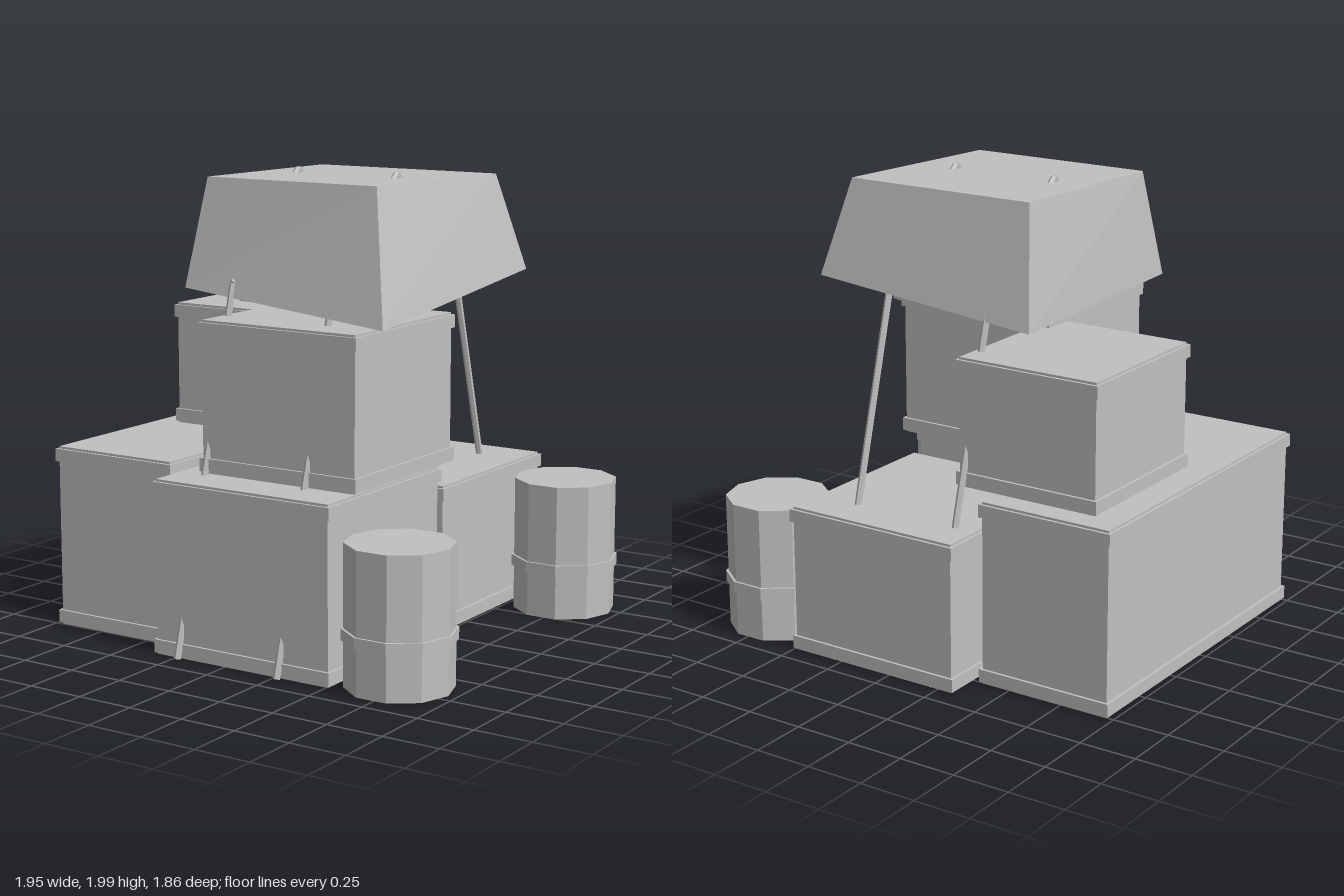
import * as THREE from 'three';

const grey = new THREE.MeshStandardMaterial({ color: 0xc0c0c0 });
grey.name = 'plainGrey';
const greySheet = new THREE.MeshStandardMaterial({ color: 0xc0c0c0, side: THREE.DoubleSide });
greySheet.name = 'plainGreySheet';

function add(parent, name, geometry, material = grey) {
  const mesh = new THREE.Mesh(geometry, material);
  mesh.name = name;
  parent.add(mesh);
  return mesh;
}

function box(parent, name, [x0, x1], [y0, y1], [z0, z1]) {
  const mesh = add(parent, name, new THREE.BoxGeometry(x1 - x0, y1 - y0, z1 - z0));
  mesh.position.set((x0 + x1) / 2, (y0 + y1) / 2, (z0 + z1) / 2);
}

// Crate: inset body with a raised band at the top and at the bottom
function crate(name, x, y, z) {
  const group = new THREE.Group();
  group.name = name;
  const inset = ([a, b]) => [a + 0.012, b - 0.012];
  box(group, 'crateBody', inset(x), y, inset(z));
  box(group, 'bottomBand', x, [y[0] + 0.008, y[0] + 0.065], z);
  box(group, 'topBand', x, [y[1] - 0.065, y[1] - 0.01], z);
  return group;
}

// Ten-sided barrel with one hoop
function barrel(name, x, z) {
  const group = new THREE.Group();
  group.name = name;
  const drum = (part, r, y0, y1) => {
    const g = new THREE.CylinderGeometry(r, r, y1 - y0, 10).toNonIndexed();
    g.computeVertexNormals();
    add(group, part, g).position.y = (y0 + y1) / 2;
  };
  drum('barrelBody', 0.226, 0.01, 0.605);
  drum('hoop', 0.237, 0.207, 0.255);
  group.rotation.y = Math.PI / 10;
  group.position.set(x, 0, z);
  return group;
}

// Open four-sided cover with a flat top and an uneven hem
function tarp() {
  const top = [[-0.365, 1.97, -0.405], [0.53, 1.97, -0.405], [0.43, 1.97, 0.395], [-0.415, 1.97, 0.395]];
  const hem = [[-0.44, 1.46, -0.52], [0.63, 1.555, -0.505], [0.555, 1.41, 0.545], [-0.465, 1.505, 0.495]];
  const points = [];
  const quad = (a, b, c, d) => points.push(...a, ...b, ...c, ...a, ...c, ...d);
  quad(top[3], top[2], top[1], top[0]);
  for (let i = 0; i < 4; i++) {
    const j = (i + 1) % 4;
    quad(top[i], top[j], hem[j], hem[i]);
  }
  const g = new THREE.BufferGeometry();
  g.setAttribute('position', new THREE.Float32BufferAttribute(points, 3));
  g.computeVertexNormals();
  return g;
}

// Straight rope piece between two points
function ropePiece(parent, a, b) {
  const dir = b.clone().sub(a);
  const g = new THREE.CylinderGeometry(0.015, 0.015, dir.length(), 6).toNonIndexed();
  g.computeVertexNormals();
  const mesh = add(parent, 'ropePiece', g);
  mesh.position.copy(a).add(b).multiplyScalar(0.5);
  mesh.quaternion.setFromUnitVectors(new THREE.Vector3(0, 1, 0), dir.normalize());
}

export function createModel() {
  const model = new THREE.Group();
  model.name = 'cargoPile';

  model.add(
    crate('longCrate', [-0.98, -0.358], [0.01, 0.805], [-0.765, 0.757]),
    crate('frontCrate', [-0.355, 0.52], [0.01, 0.76], [0.018, 0.886]),
    crate('backCrate', [-0.33, 0.5], [0.01, 0.657], [-0.917, -0.037]),
    crate('upperFrontCrate', [-0.255, 0.52], [0.762, 1.408], [-0.085, 0.69]),
    crate('upperBackCrate', [-0.855, -0.18], [0.81, 1.36], [-0.666, 0.062]),
    crate('coveredCrate', [-0.33, 0.39], [1.437, 1.93], [-0.313, 0.32]),
    barrel('frontBarrel', 0.737, 0.7),
    barrel('backBarrel', 0.737, -0.705)
  );

  add(model, 'tarp', tarp(), greySheet);

  // Two tie ropes running over the load and down to the ground
  for (const x of [-0.22, 0.28]) {
    const rope = new THREE.Group();
    rope.name = 'tieRope';
    const path = [[0.015, -0.905], [1.54, -0.487], [1.985, 0], [1.54, 0.487], [0.015, 0.905]]
      .map(([y, z]) => new THREE.Vector3(x, y, z));
    for (let i = 0; i < 4; i++) ropePiece(rope, path[i], path[i + 1]);
    model.add(rope);
  }
  return model;
}
